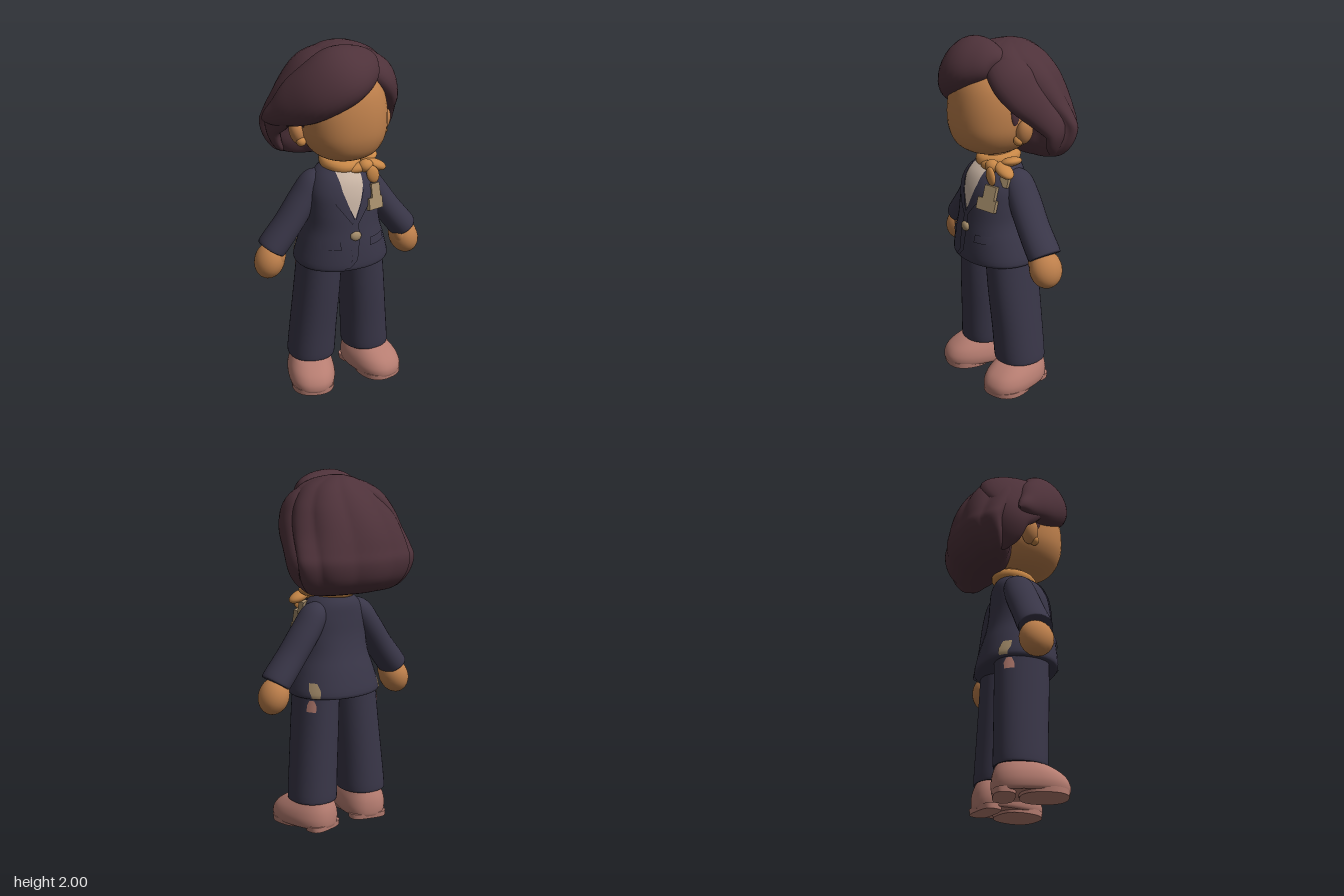
import * as THREE from 'three';

const V = (x, y, z) => new THREE.Vector3(x, y, z);
const mat = (name, color) => {
  const m = new THREE.MeshStandardMaterial({ color });
  m.name = name;
  return m;
};

// Catmull-Rom through rows of numbers
function smoothRows(rows, steps) {
  const out = [], at = i => rows[Math.max(0, Math.min(rows.length - 1, i))];
  for (let i = 0; i < rows.length - 1; i++) {
    for (let s = 0; s < steps; s++) {
      const t = s / steps, [a, b, c, d] = [at(i - 1), at(i), at(i + 1), at(i + 2)];
      out.push(b.map((v, k) => 0.5 * (2 * v + (c[k] - a[k]) * t + (2 * a[k] - 5 * v + 4 * c[k] - d[k]) * t * t
        + (3 * v - a[k] - 3 * c[k] + d[k]) * t * t * t)));
    }
  }
  out.push(rows[rows.length - 1]);
  return out;
}

// Closed skin over a list of rings, with flat end caps
function skin(rings) {
  const pos = [], idx = [], n = rings[0].length;
  rings.forEach(r => r.forEach(p => pos.push(p.x, p.y, p.z)));
  for (let i = 0; i < rings.length - 1; i++) {
    for (let j = 0; j < n; j++) {
      const a = i * n + j, b = i * n + (j + 1) % n;
      idx.push(a, b, a + n, b, b + n, a + n);
    }
  }
  [rings[0], rings[rings.length - 1]].forEach((r, end) => {
    const base = pos.length / 3, mid = V(0, 0, 0);
    r.forEach(p => { pos.push(p.x, p.y, p.z); mid.addScaledVector(p, 1 / n); });
    pos.push(mid.x, mid.y, mid.z);
    for (let j = 0; j < n; j++) {
      const a = base + j, b = base + (j + 1) % n;
      end ? idx.push(a, b, base + n) : idx.push(b, a, base + n);
    }
  });
  return finish(pos, idx);
}

function finish(pos, idx) {
  const g = new THREE.BufferGeometry();
  g.setAttribute('position', new THREE.Float32BufferAttribute(pos, 3));
  g.setIndex(idx);
  g.computeVertexNormals();
  return g;
}

// Upright form from rows of [y, centre x, half width, front z, back z]
function stack(rows, { e = 2.2, n = 36, steps = 4, puff = () => 1 } = {}) {
  const sp = v => Math.sign(v) * Math.abs(v) ** (2 / e);
  return skin(smoothRows(rows, steps).map(([y, cx, rx, zf, zb]) => Array.from({ length: n }, (_, j) => {
    const a = j / n * Math.PI * 2, k = puff(a, y);
    return V(cx + rx * k * sp(Math.cos(a)), y, (zf + zb) / 2 - (zf - zb) / 2 * k * sp(Math.sin(a)));
  })));
}

// Swept form from rows of [x, y, z, half width, half thickness]; thickness points away from a centre
function sweep(rows, centre, n = 24) {
  const pts = smoothRows(rows, 5);
  return skin(pts.map((p, i) => {
    const P = V(...p), q = pts[Math.min(i + 1, pts.length - 1)], r = pts[Math.max(i - 1, 0)];
    const T = V(q[0] - r[0], q[1] - r[1], q[2] - r[2]).normalize();
    const N = P.clone().sub(centre);
    N.addScaledVector(T, -N.dot(T)).normalize();
    const B = N.clone().cross(T);
    return Array.from({ length: n }, (_, j) => {
      const a = j / n * Math.PI * 2;
      return P.clone().addScaledVector(B, Math.cos(a) * p[3]).addScaledVector(N, Math.sin(a) * p[4]);
    });
  }));
}

// Bob volume: nine soft lobes, tucked at the diagonals low down and fuller near the crown
function bobPuff(a, y) {
  const tuck = THREE.MathUtils.clamp((1.78 - y) / 0.25, -0.5, 1);
  return (0.95 + 0.06 * Math.abs(Math.sin(4.5 * a + 0.6 + (y - 1.5) * 1.2))) * (1 - 0.05 * Math.abs(Math.sin(2 * a)) * tuck);
}

const jacketRows = [
  [0.762, 0, 0.25, 0.265, -0.155], [0.785, 0, 0.268, 0.28, -0.17], [0.9, 0, 0.238, 0.275, -0.145],
  [1.0, 0, 0.208, 0.262, -0.115], [1.1, 0, 0.2, 0.25, -0.095], [1.2, 0, 0.19, 0.232, -0.088],
  [1.28, 0, 0.15, 0.195, -0.08], [1.335, 0, 0.085, 0.125, -0.05]];
const trouserRows = s => [
  [0.165, s * 0.17, 0.125, 0.15, -0.115], [0.175, s * 0.17, 0.134, 0.162, -0.125], [0.35, s * 0.158, 0.13, 0.172, -0.12],
  [0.6, s * 0.138, 0.125, 0.19, -0.112], [0.85, s * 0.12, 0.118, 0.2, -0.105]];

// Depth of a stacked surface at (x, y); dir 1 is front, -1 is back
function surfaceZ(rows, x, y, dir, e = 2.2) {
  const fine = smoothRows(rows, 4);
  let i = 0;
  while (i < fine.length - 2 && fine[i + 1][0] < y) i++;
  const t = (y - fine[i][0]) / (fine[i + 1][0] - fine[i][0]);
  const [, cx, rx, zf, zb] = fine[i].map((v, k) => v + (fine[i + 1][k] - v) * t);
  const u = Math.min(1, Math.abs((x - cx) / rx));
  return (zf + zb) / 2 + dir * (zf - zb) / 2 * (1 - u ** e) ** (1 / e);
}

// Thin cloth patch lying on a surface, from rows of [y, x from, x to], top to bottom
function patch(base, rows, lift, dir = 1) {
  const pos = [], idx = [], n = 6, fine = smoothLinear(rows, 4);
  fine.forEach(([y, a, b], i) => {
    for (let j = 0; j <= n; j++) {
      const x = a + (b - a) * j / n;
      pos.push(x, y, surfaceZ(base, x, y, dir) + dir * lift);
      if (i && j) {
        const c = i * (n + 1) + j, up = c - n - 1;
        idx.push(up - 1, c - 1, c, up - 1, c, up);
      }
    }
  });
  return finish(pos, idx);
}

// Straight subdivision of rows
function smoothLinear(rows, steps) {
  return rows.flatMap((r, i) => i === 0 ? [r] : Array.from({ length: steps }, (_, k) =>
    r.map((v, m) => rows[i - 1][m] + (v - rows[i - 1][m]) * (k + 1) / steps)));
}

export function createModel() {
  const model = new THREE.Group();
  const skinTone = mat('skin', 0xbd7f4b), hair = mat('hair', 0x4e323a), suit = mat('navy suit', 0x393648);
  const shoe = mat('rose shoes', 0xb67d71), scarf = mat('orange scarf', 0xc78747);
  const shirt = mat('cream shirt', 0xc6b2a2), tan = mat('khaki trim', 0xa48c6a);
  [shirt, tan, suit, shoe].forEach(m => { m.side = THREE.DoubleSide; });
  const add = (name, geo, m, parent = model) => {
    const mesh = new THREE.Mesh(geo, m);
    mesh.name = name;
    parent.add(mesh);
    return mesh;
  };
  const ball = (name, m, p, r, rot = 0) => {
    const b = add(name, new THREE.SphereGeometry(1, 24, 16), m);
    b.position.set(...p); b.scale.set(...r); b.rotation.z = rot;
  };

  // Head and neck
  add('head', stack([[1.375, 0, 0.05, 0.15, 0.02], [1.39, 0, 0.12, 0.22, -0.04], [1.43, 0, 0.18, 0.282, -0.1],
    [1.5, 0, 0.222, 0.315, -0.14], [1.58, 0, 0.236, 0.325, -0.16], [1.68, 0, 0.232, 0.318, -0.16],
    [1.77, 0, 0.205, 0.295, -0.14], [1.84, 0, 0.15, 0.25, -0.09], [1.88, 0, 0.07, 0.17, 0]]), skinTone);
  add('neck', new THREE.CylinderGeometry(0.075, 0.085, 0.14, 24), skinTone).position.set(0, 1.35, 0.035);

  // Hair: puffed bob, swept fringe and a lock over each side
  add('hairBob', stack([[1.355, 0, 0.22, -0.06, -0.2], [1.375, 0, 0.3, -0.03, -0.26], [1.44, 0, 0.355, 0, -0.325],
    [1.53, 0, 0.38, 0.005, -0.352], [1.6, 0, 0.37, 0.06, -0.342], [1.68, 0, 0.348, 0.15, -0.325],
    [1.76, 0.005, 0.318, 0.2, -0.295], [1.84, 0.015, 0.27, 0.21, -0.25], [1.92, 0.025, 0.19, 0.19, -0.185],
    [1.965, 0.02, 0.11, 0.12, -0.12], [1.985, 0.02, 0.03, 0.02, -0.05]], { e: 2.02, n: 90, puff: bobPuff }), hair);
  const headMid = V(0, 1.65, 0);
  add('hairFringe', sweep([[0.15, 1.89, 0.13, 0.02, 0.02], [0.12, 1.9, 0.145, 0.08, 0.06], [0.05, 1.89, 0.175, 0.135, 0.095],
    [-0.06, 1.86, 0.2, 0.17, 0.118], [-0.17, 1.79, 0.17, 0.165, 0.11], [-0.27, 1.71, 0.09, 0.135, 0.085],
    [-0.34, 1.645, 0.02, 0.08, 0.055], [-0.385, 1.61, -0.03, 0.04, 0.03], [-0.4, 1.59, -0.06, 0.008, 0.008]], headMid, 32), hair);
  add('hairRightLock', sweep([[0.1, 1.92, 0.03, 0.03, 0.02], [0.02, 1.92, 0.02, 0.14, 0.06], [-0.13, 1.86, 0, 0.2, 0.083],
    [-0.225, 1.76, -0.02, 0.2, 0.08], [-0.3, 1.65, -0.04, 0.155, 0.065], [-0.335, 1.55, -0.08, 0.1, 0.046],
    [-0.315, 1.45, -0.1, 0.07, 0.03], [-0.27, 1.38, -0.12, 0.015, 0.015]], headMid), hair);
  add('hairLeftLock', sweep([[0.06, 1.89, 0.06, 0.02, 0.02], [0.12, 1.88, 0.09, 0.1, 0.06], [0.205, 1.82, 0.105, 0.12, 0.07],
    [0.26, 1.735, 0.07, 0.11, 0.06], [0.297, 1.64, -0.01, 0.09, 0.055], [0.33, 1.54, -0.085, 0.07, 0.043],
    [0.31, 1.45, -0.1, 0.055, 0.03], [0.27, 1.38, -0.12, 0.015, 0.015]], headMid), hair);

  // Jacket with shirt front, lapels and closing edge
  add('jacket', stack(jacketRows), suit);
  add('shirtFront', patch(jacketRows, [[1.325, -0.07, 0.07], [1.24, -0.066, 0.064], [1.15, -0.038, 0.036], [1.07, -0.002, 0.002]], 0.005), shirt);
  for (const s of [1, -1]) {
    const span = (y, a, b) => s > 0 ? [y, a, b] : [y, -b, -a];
    const rear = (x, y, half) => [y, s * x + half, s * x - half];
    add('lapel', patch(jacketRows, [span(1.3, 0.07, 0.1), span(1.22, 0.06, 0.125), span(1.15, 0.037, 0.1), span(1.04, -0.005, 0.02)], 0.008), suit);
    add('pocketFlap', patch(jacketRows, [span(0.945, 0.09, 0.185), span(0.9, 0.085, 0.19)], 0.008), suit);
    add('hemPatch', patch(jacketRows, [rear(0.215, 0.855, 0.014), rear(0.215, 0.815, 0.022), rear(0.215, 0.77, 0.016)], 0.006, -1), tan);
    add('trouserPatch', patch(trouserRows(s), [rear(0.222, 0.755, 0.008), rear(0.222, 0.725, 0.016), rear(0.226, 0.69, 0.016)], 0.006, -1), shoe);
  }
  add('jacketEdge', patch(jacketRows, [[1.06, -0.01, 0.02], [0.95, -0.03, 0.02], [0.83, -0.03, 0.005], [0.785, -0.07, -0.04]], 0.007), suit);
  ball('button', tan, [0, 0.968, 0.268], [0.032, 0.028, 0.018]);

  // Chest badges
  for (const [x, y, w, h] of [[0.133, 1.122, 0.112, 0.066], [0.14, 1.19, 0.07, 0.075], [0.163, 1.25, 0.05, 0.075]]) {
    const b = add('badge', new THREE.BoxGeometry(w, h, 0.03), tan);
    b.position.set(x, y, surfaceZ(jacketRows, x, y, 1) + 0.004);
    b.rotation.set(-0.25, 0.45, 0);
  }

  // Neck scarf with knot and tails
  const band = add('scarfBand', new THREE.TorusGeometry(0.082, 0.032, 14, 36), scarf);
  band.rotation.x = Math.PI / 2 + 0.12; band.scale.set(1, 1.15, 1.1); band.position.set(0, 1.335, 0.045);
  ball('scarfKnot', scarf, [0.105, 1.325, 0.16], [0.042, 0.036, 0.038]);
  ball('scarfBow', scarf, [0.175, 1.312, 0.13], [0.068, 0.03, 0.045], -0.4);
  ball('scarfBow', scarf, [0.155, 1.345, 0.07], [0.055, 0.026, 0.06], 0.3);
  ball('scarfTail', scarf, [0.135, 1.28, 0.19], [0.036, 0.052, 0.018], 0.3);
  ball('scarfTail', scarf, [0.06, 1.315, 0.15], [0.06, 0.028, 0.035], 0.15);

  for (const s of [1, -1]) {
    // Ears, earrings and sideburns
    ball('ear', skinTone, [s * 0.253, 1.535, 0.055], [0.04, 0.072, 0.047], -s * 0.25);
    ball('earring', scarf, [s * 0.24, 1.488, 0.085], [0.027, 0.027, 0.027]);
    ball('sideburn', hair, [s * 0.228, 1.635, 0.1], [0.018, 0.07, 0.028]);

    // Arms and hands
    add('sleeve', sweep([[s * 0.1, 1.265, 0.02, 0.035, 0.05], [s * 0.145, 1.225, 0.02, 0.07, 0.085], [s * 0.21, 1.13, 0.02, 0.077, 0.095],
      [s * 0.3, 1.0, 0.025, 0.078, 0.095], [s * 0.395, 0.878, 0.025, 0.08, 0.097], [s * 0.4, 0.871, 0.025, 0.07, 0.087]], V(s * 0.2, 1.1, -20)), suit);
    ball('hand', skinTone, [s * 0.414, 0.795, 0.025], [0.083, 0.105, 0.094], s * 0.35);
    ball('thumb', skinTone, [s * 0.375, 0.82, 0.065], [0.038, 0.06, 0.04], s * 0.3);

    // Trousers and shoes
    add('trouserLeg', stack(trouserRows(s)), suit);
    const foot = new THREE.Group();
    foot.name = 'shoe';
    foot.position.set(s * 0.189, 0, 0.062);
    foot.rotation.y = s * 0.25;
    model.add(foot);
    add('shoeUpper', stack([[0.015, 0, 0.122, 0.203, -0.195], [0.03, 0, 0.132, 0.21, -0.2], [0.065, 0, 0.136, 0.208, -0.202],
      [0.105, 0, 0.128, 0.185, -0.198], [0.14, 0, 0.112, 0.14, -0.188], [0.165, 0, 0.095, 0.09, -0.175], [0.178, 0, 0.07, 0.04, -0.15]],
    { e: 2.4 }), shoe, foot);
    add('sole', stack([[0, 0, 0.122, 0.203, -0.055], [0.03, 0, 0.124, 0.205, -0.06]], { e: 2.4, steps: 1 }), shoe, foot);
    add('heel', stack([[0, 0, 0.108, -0.075, -0.192], [0.03, 0, 0.11, -0.07, -0.195]], { e: 3, steps: 1 }), shoe, foot);
  }
  return model;
}
